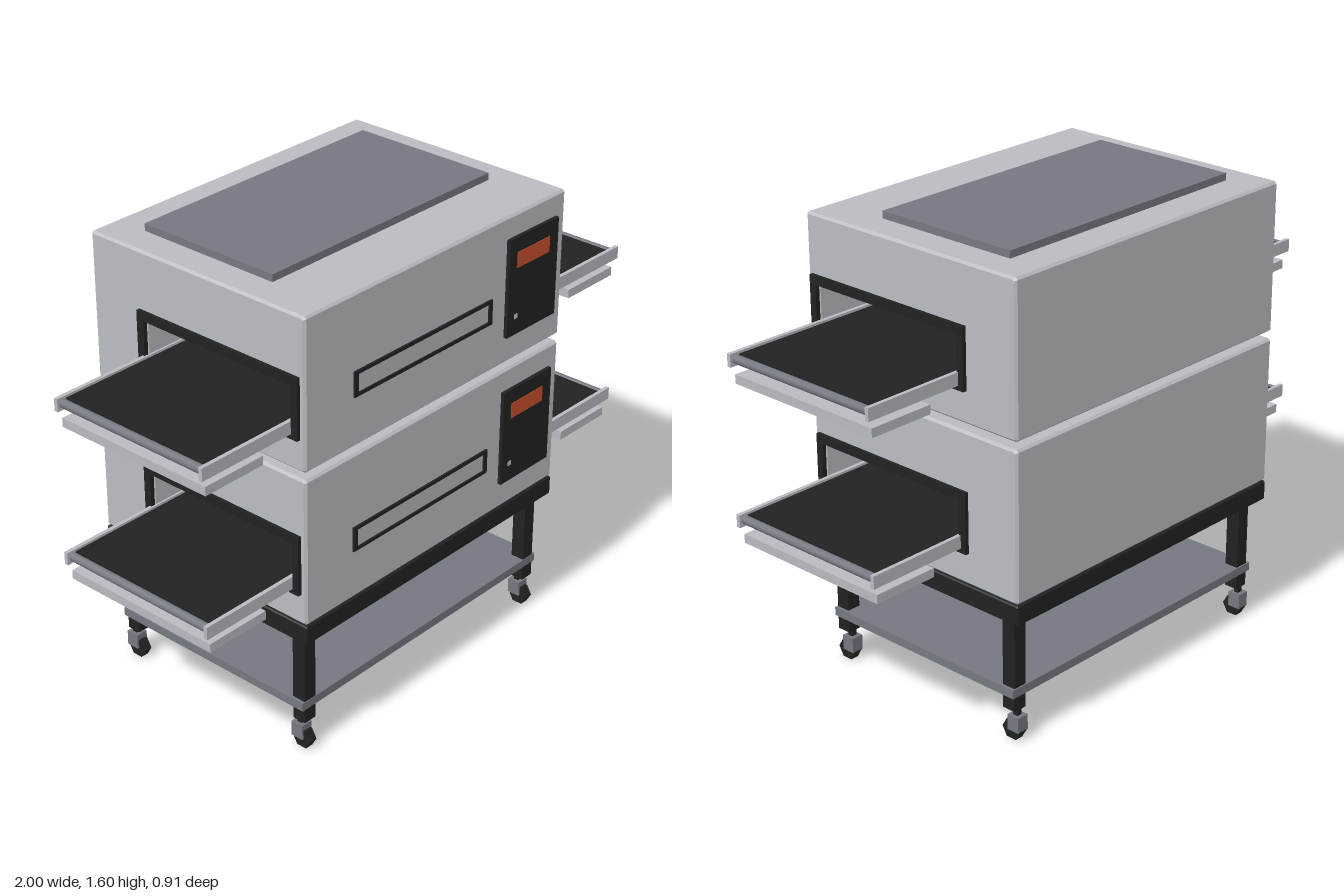
import * as THREE from 'three';

const mat = (name, color) => {
  const m = new THREE.MeshStandardMaterial({ color });
  m.name = name;
  return m;
};

export function createModel() {
  const shell = mat('shell grey', 0xb9bcc1);
  const black = mat('black', 0x222222);
  const steel = mat('dark steel', 0x757881);
  const rail = mat('light steel', 0xb9b9c1);
  const glass = mat('window glass', 0xb9b6bd);
  const orange = mat('display orange', 0xc94f2c);
  const root = new THREE.Group();
  root.name = 'conveyorOven';

  const add = (parent, name, geo, material) => {
    const m = new THREE.Mesh(geo, material);
    m.name = name;
    parent.add(m);
    return m;
  };
  // box given by its limits on each axis
  const box = (parent, name, material, [x0, x1], [y0, y1], [z0, z1]) =>
    add(parent, name, new THREE.BoxGeometry(x1 - x0, y1 - y0, z1 - z0), material)
      .position.set((x0 + x1) / 2, (y0 + y1) / 2, (z0 + z1) / 2);
  // same box on the +x and -x sides
  const pair = (parent, name, material, [x0, x1], y, z) => {
    box(parent, name + 'Left', material, [x0, x1], y, z);
    box(parent, name + 'Right', material, [-x1, -x0], y, z);
  };
  // rectangle outline with chamfered corners
  const outline = (Type, [a0, a1], [b0, b1], c = 0) => {
    const pts = c
      ? [[a0 + c, b0], [a1 - c, b0], [a1, b0 + c], [a1, b1 - c], [a1 - c, b1], [a0 + c, b1], [a0, b1 - c], [a0, b0 + c]]
      : [[a0, b0], [a1, b0], [a1, b1], [a0, b1]];
    return new Type(pts.map((p) => new THREE.Vector2(...p)));
  };
  // extrusion along x, of a shape drawn in (-z, y)
  const extrudeX = (shape, width, bevel) => {
    const geo = new THREE.ExtrudeGeometry(shape, {
      depth: width - 2 * bevel, bevelEnabled: bevel > 0, bevelSize: bevel,
      bevelThickness: bevel, bevelOffset: -bevel, bevelSegments: 1,
    });
    return geo.translate(0, 0, -(width - 2 * bevel) / 2).rotateY(Math.PI / 2);
  };

  const buildDeck = (name, y) => {
    const deck = new THREE.Group();
    deck.name = name;
    deck.position.y = y;
    root.add(deck);

    // housing with a tunnel from side to side
    const body = outline(THREE.Shape, [-0.44, 0.455], [0, 0.52], 0.008);
    body.holes.push(outline(THREE.Path, [-0.395, 0.222], [0.125, 0.29]));
    add(deck, 'housing', extrudeX(body, 1.235, 0.008), shell);

    // black frames around the tunnel mouths
    const frame = outline(THREE.Shape, [-0.42, 0.25], [0.11, 0.32]);
    frame.holes.push(outline(THREE.Path, [-0.395, 0.222], [0.125, 0.29]));
    for (const s of [1, -1])
      add(deck, 'tunnelFrame', extrudeX(frame, 0.016, 0), black).position.x = s * 0.623;

    // belt, side rails, end rollers and crumb trays
    box(deck, 'belt', black, [-0.965, 0.965], [0.133, 0.162], [-0.215, 0.38]);
    box(deck, 'frontRail', rail, [-1, 1], [0.126, 0.17], [0.38, 0.394]);
    box(deck, 'backRail', rail, [-1, 1], [0.126, 0.17], [-0.229, -0.215]);
    for (const s of [1, -1]) {
      const roller = add(deck, 'endRoller', new THREE.CylinderGeometry(0.015, 0.015, 0.6, 12), steel);
      roller.rotation.x = Math.PI / 2;
      roller.position.set(s * 0.978, 0.149, 0.083);
    }
    pair(deck, 'crumbTray', rail, [0.74, 0.98], [0.066, 0.097], [-0.22, 0.385]);

    // front window
    const trim = outline(THREE.Shape, [-0.405, 0.25], [0.175, 0.262]);
    trim.holes.push(outline(THREE.Path, [-0.387, 0.233], [0.187, 0.25]));
    add(deck, 'windowTrim', new THREE.ExtrudeGeometry(trim, { depth: 0.008, bevelEnabled: false }), black)
      .position.z = 0.439;
    box(deck, 'windowGlass', glass, [-0.387, 0.233], [0.187, 0.25], [0.437, 0.442]);

    // control panel
    box(deck, 'controlPanel', black, [0.32, 0.57], [0.098, 0.442], [0.438, 0.453]);
    box(deck, 'display', orange, [0.36, 0.525], [0.335, 0.39], [0.45, 0.455]);
    box(deck, 'button', rail, [0.354, 0.37], [0.156, 0.172], [0.45, 0.455]);
  };
  buildDeck('lowerDeck', 0.515);
  buildDeck('upperDeck', 1.06);

  // top cover plate and the base under the ovens
  box(root, 'topPlate', steel, [-0.508, 0.506], [1.575, 1.605], [-0.328, 0.212]);
  add(root, 'base', extrudeX(outline(THREE.Shape, [-0.44, 0.455], [0.443, 0.512], 0.004), 1.235, 0.004), black);
  // filler between the decks, set well back
  box(root, 'deckSpacer', shell, [-0.55, 0.55], [1.03, 1.065], [-0.4, 0.385]);

  // stand: shelf, legs and casters
  box(root, 'shelf', steel, [-0.597, 0.597], [0.163, 0.193], [-0.415, 0.402]);
  for (const z of [0.375, -0.385]) {
    pair(root, 'leg', black, [0.535, 0.585], [0.11, 0.45], [z - 0.025, z + 0.025]);
    for (const x of [0.56, -0.56]) {
      const caster = new THREE.Group();
      caster.name = 'caster';
      caster.position.set(x, 0, z);
      root.add(caster);
      box(caster, 'stem', black, [-0.01, 0.01], [0.08, 0.115], [-0.022, -0.004]);
      box(caster, 'bracket', steel, [-0.022, 0.022], [0.034, 0.088], [-0.037, 0.01]);
      const wheel = add(caster, 'wheel',
        new THREE.CylinderGeometry(0.038, 0.038, 0.03, 6).rotateZ(Math.PI / 2).toNonIndexed(), black);
      wheel.geometry.computeVertexNormals();
      wheel.position.y = 0.034;
    }
  }
  return root;
}
